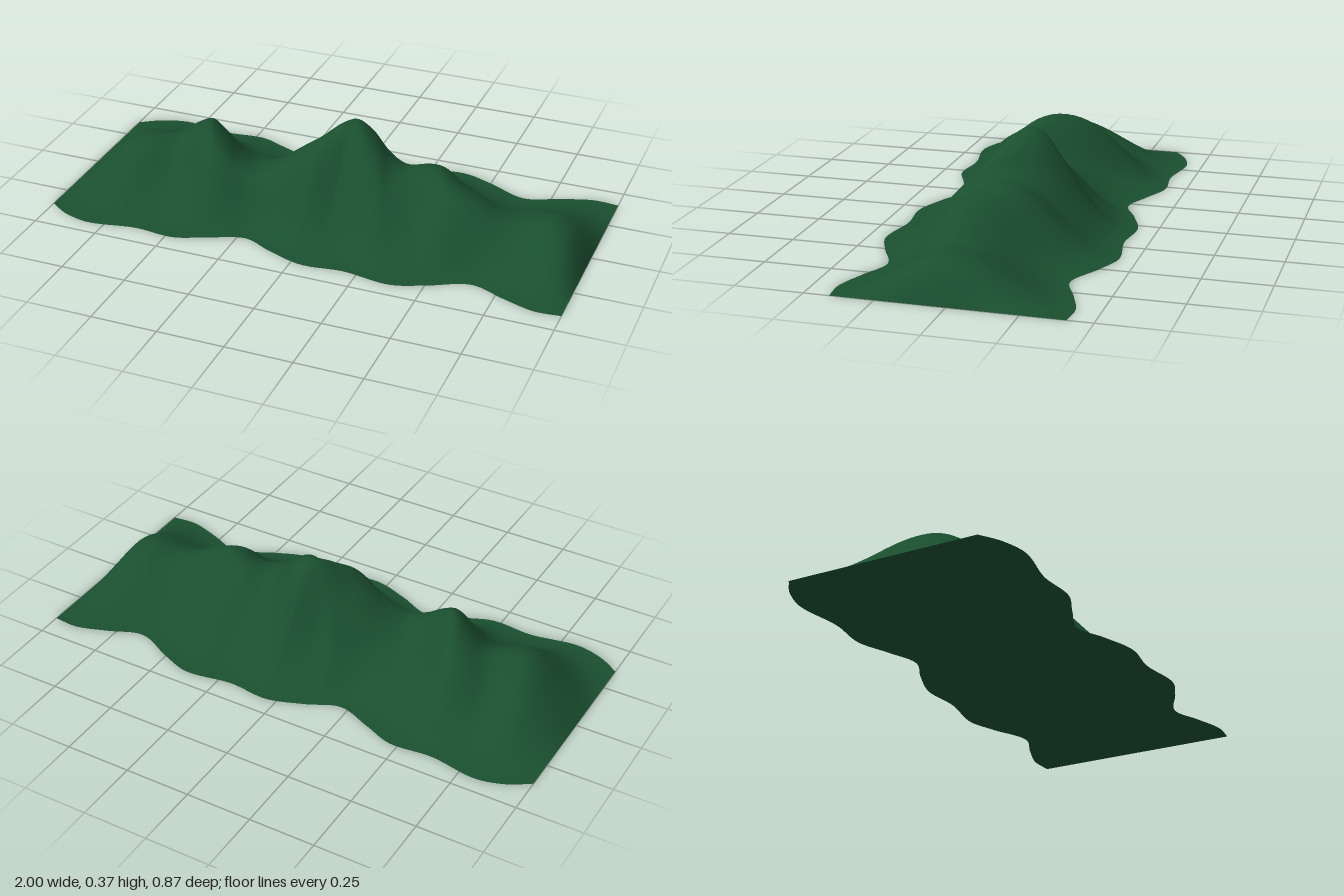
import * as THREE from 'three';

// Smooth value-of-x curve through a few [x, value] points
function smoothCurve(points) {
  const n = points.length;
  const slope = points.map((p, i) => {
    const a = points[Math.max(i - 1, 0)], b = points[Math.min(i + 1, n - 1)];
    return (b[1] - a[1]) / (b[0] - a[0]);
  });
  return (x) => {
    x = THREE.MathUtils.clamp(x, points[0][0], points[n - 1][0]);
    let i = 0;
    while (i < n - 2 && x > points[i + 1][0]) i++;
    const [x0, y0] = points[i], [x1, y1] = points[i + 1];
    const d = x1 - x0, t = (x - x0) / d, t2 = t * t, t3 = t2 * t;
    return y0 * (2 * t3 - 3 * t2 + 1) + y1 * (3 * t2 - 2 * t3)
      + d * (slope[i] * (t3 - 2 * t2 + t) + slope[i + 1] * (t3 - t2));
  };
}

// Skyline of the range
const crestHeight = smoothCurve([
  [-1, 0], [-0.9, 0.09], [-0.8, 0.17], [-0.73, 0.185], [-0.64, 0.183], [-0.56, 0.235],
  [-0.49, 0.27], [-0.42, 0.235], [-0.34, 0.175], [-0.26, 0.155], [-0.18, 0.185], [-0.08, 0.26],
  [0, 0.32], [0.07, 0.37], [0.14, 0.325], [0.21, 0.25], [0.29, 0.222], [0.39, 0.235],
  [0.5, 0.21], [0.6, 0.17], [0.67, 0.135], [0.74, 0.122], [0.86, 0.135], [0.93, 0.108],
  [0.975, 0.05], [1, 0],
]);

// Sideways wander of the crest line
const crestOffset = smoothCurve([
  [-1, 0.03], [-0.75, 0.06], [-0.6, -0.02], [-0.48, 0.03], [-0.36, 0.08], [-0.24, 0.1],
  [-0.12, 0.09], [-0.03, 0.08], [0.03, 0.02], [0.08, -0.04], [0.17, -0.05], [0.28, 0.01],
  [0.4, -0.02], [0.5, 0.05], [0.62, 0.06], [0.8, 0.04], [1, 0.04],
]);

// Wavy foot of the slopes
const halfWidth = smoothCurve([
  [-1, 0.36], [-0.92, 0.41], [-0.81, 0.437], [-0.63, 0.41], [-0.47, 0.42], [-0.35, 0.375],
  [-0.22, 0.33], [-0.1, 0.38], [0.04, 0.425], [0.2, 0.412], [0.38, 0.435], [0.5, 0.395],
  [0.65, 0.33], [0.78, 0.375], [0.9, 0.413], [1, 0.408],
]);

// Height of the ground: bell-shaped slopes with slanting spurs
function groundHeight(x, z) {
  const w = halfWidth(x), c = crestOffset(x);
  const s = (z - c) / (z > c ? w - c : -w - c);
  const bell = Math.pow(Math.max(Math.cos(s * Math.PI / 2), 0), 2.2);
  const spurX = x - 0.55 * (z - c) * (1 - x * x);
  return crestHeight(spurX) * bell;
}

// Flat grid trimmed to the wavy foot and raised by a height rule
function sheet(name, rows, material, height, tilt) {
  const geometry = new THREE.PlaneGeometry(2, 2, 160, rows).rotateX(tilt);
  const pos = geometry.attributes.position;
  for (let i = 0; i < pos.count; i++) {
    const x = pos.getX(i);
    const z = pos.getZ(i) * halfWidth(x);
    pos.setXYZ(i, x, height(x, z), z);
  }
  geometry.computeVertexNormals();
  const mesh = new THREE.Mesh(geometry, material);
  mesh.name = name;
  return mesh;
}

export function createModel() {
  const group = new THREE.Group();
  group.name = 'mountainRange';
  const forestGreen = new THREE.MeshStandardMaterial({ color: 0x1a4f2f });
  forestGreen.name = 'forestGreen';

  group.add(
    sheet('mountainSlopes', 64, forestGreen, groundHeight, -Math.PI / 2),
    // Closed underside, facing down
    sheet('flatBase', 1, forestGreen, () => 0, Math.PI / 2),
  );
  return group;
}
